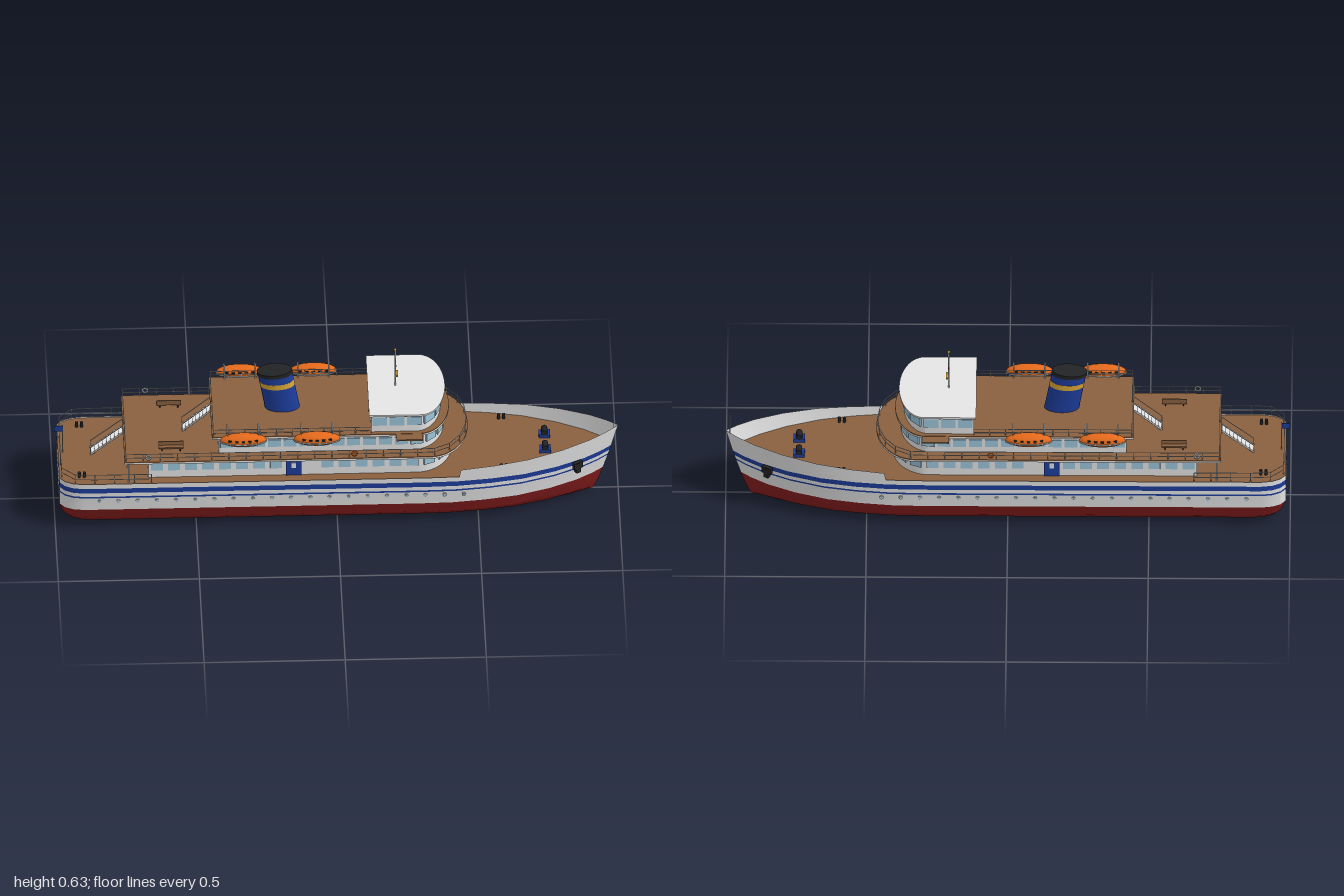
import * as THREE from 'three';
import { toCreasedNormals } from 'three/addons/utils/BufferGeometryUtils.js';

const mat = (name, color, side = THREE.FrontSide) => new THREE.MeshStandardMaterial({ name, color, side });

export function createModel() {
  const ship = new THREE.Group();
  ship.name = 'passengerShip';
  const white = mat('white', 0xe6e6e6, THREE.DoubleSide), red = mat('hullRed', 0x861d1d), blue = mat('blue', 0x1d3d9c, THREE.DoubleSide);
  const brown = mat('deckBrown', 0x8a6140), glass = mat('glass', 0x9cc6dc), orange = mat('orange', 0xe56a1c);
  const gold = mat('gold', 0xd9a638), black = mat('black', 0x222326), grey = mat('railGrey', 0xc4c6c8);

  const add = (name, geo, m, x = 0, y = 0, z = 0, parent = ship) => {
    const mesh = new THREE.Mesh(geo, m);
    mesh.name = name;
    mesh.position.set(x, y, z);
    parent.add(mesh);
    return mesh;
  };
  const box = (name, m, w, h, d, x, y, z, parent) => add(name, new THREE.BoxGeometry(w, h, d), m, x, y, z, parent);
  const V = (x, y, z) => new THREE.Vector3(x, y, z);
  const rod = (name, a, b, r, m = grey, parent = ship) => {
    const mesh = add(name, new THREE.CylinderGeometry(r, r, a.distanceTo(b), 6), m, 0, 0, 0, parent);
    mesh.position.lerpVectors(a, b, 0.5);
    mesh.quaternion.setFromUnitVectors(V(0, 1, 0), b.clone().sub(a).normalize());
    return mesh;
  };

  // Hull: plan outline [fraction of length, fraction of half-width] scaled at every height
  const plan = [[0, 0.78], [0.01, 0.9], [0.025, 0.97], [0.045, 1], [0.3, 1], [0.66, 1], [0.72, 0.985], [0.78, 0.92],
    [0.84, 0.81], [0.9, 0.61], [0.95, 0.37], [0.98, 0.17], [1, 0]];
  const widths = [[0, 0.08], [0.008, 0.13], [0.022, 0.165], [0.045, 0.185], [0.09, 0.198], [0.143, 0.202], [0.3, 0.204]];
  const halfWidth = y => {
    const i = Math.max(1, widths.findIndex(w => w[0] >= y));
    const [a, b] = [widths[i - 1], widths[i]];
    return a[1] + (b[1] - a[1]) * (y - a[0]) / (b[0] - a[0]);
  };
  const hullPoint = (s, f, y, side) => {
    const stern = -0.985 + 0.045 * Math.max(0, 1 - y / 0.09) ** 1.5;
    const bow = 0.91 + 0.09 * Math.min(1, y / 0.273) ** 0.8;
    return V(stern + (bow - stern) * s, y, side * f * halfWidth(y));
  };
  const ring = (yOf, from = 0) => {
    const p = plan.filter(q => q[0] >= from);
    return [...p.map(([s, f]) => hullPoint(s, f, yOf(s), 1)),
      ...p.slice(0, -1).reverse().map(([s, f]) => hullPoint(s, f, yOf(s), -1))];
  };
  const loft = (rings, closed) => {
    const n = rings[0].length, index = [];
    for (let r = 0; r < rings.length - 1; r++) for (let i = 0; i < (closed ? n : n - 1); i++) {
      const a = r * n + i, b = r * n + (i + 1) % n;
      index.push(a, b, b + n, a, b + n, a + n);
    }
    const g = new THREE.BufferGeometry().setFromPoints(rings.flat());
    g.setIndex(index);
    return toCreasedNormals(g, 0.35);
  };
  const band = (name, m, ys) => add(name, loft(ys.map(y => ring(() => y)), true), m);
  band('lowerHull', red, [0, 0.008, 0.022, 0.045, 0.09]);
  band('hullSide', white, [0.09, 0.143]);
  band('thinStripe', blue, [0.143, 0.15]);
  band('hullSideMiddle', white, [0.15, 0.165]);
  band('wideStripe', blue, [0.165, 0.185]);
  band('hullSideTop', white, [0.185, 0.205]);
  const sheer = s => 0.235 + 0.038 * ((s - 0.72) / 0.28) ** 1.2;
  add('bowBulwark', loft([ring(() => 0.2, 0.72), ring(sheer, 0.72)], false), white);
  const flat = y => new THREE.ShapeGeometry(new THREE.Shape(ring(() => y).map(p => new THREE.Vector2(p.x, -p.z))));
  add('mainDeck', flat(0.2).rotateX(-Math.PI / 2), brown, 0, 0.2, 0);
  add('keelPlate', flat(0).rotateX(Math.PI / 2), red);

  // Deckhouses and decks: straight sides with a rounded front
  const outline = (x0, x1, hw, bulge) => {
    const p = new THREE.CurvePath();
    p.add(new THREE.LineCurve(new THREE.Vector2(x0, -hw), new THREE.Vector2(x1 - bulge, -hw)));
    p.add(new THREE.EllipseCurve(x1 - bulge, 0, bulge, hw, -Math.PI / 2, Math.PI / 2));
    p.add(new THREE.LineCurve(new THREE.Vector2(x1 - bulge, hw), new THREE.Vector2(x0, hw)));
    return p;
  };
  const tier = (name, m, [x0, x1, hw, bulge], y0, y1) => {
    const s = new THREE.Shape();
    s.moveTo(x0, -hw).lineTo(x1 - bulge, -hw);
    s.absellipse(x1 - bulge, 0, bulge, hw, -Math.PI / 2, Math.PI / 2);
    s.lineTo(x0, hw);
    const g = new THREE.ExtrudeGeometry(s, { depth: y1 - y0, bevelEnabled: false, curveSegments: 16 });
    return add(name, toCreasedNormals(g.rotateX(-Math.PI / 2), 0.4), m, 0, y0, 0);
  };
  const windows = (name, dims, y, h, w, step, skip = () => false) => {
    const path = outline(...dims), len = path.getLength(), n = Math.floor(len / step);
    const group = new THREE.Group();
    group.name = name;
    for (let i = 0; i < n; i++) {
      const u = (i + 0.5) / n, p = path.getPointAt(u), t = path.getTangentAt(u);
      if (skip(p.x)) continue;
      box('window', glass, w, h, 0.008, p.x, y, -p.y, group).rotation.y = Math.atan2(t.y, t.x);
    }
    ship.add(group);
  };
  const house1 = [-0.67, 0.41, 0.16, 0.13], house2 = [-0.42, 0.38, 0.155, 0.11], bridge = [0.12, 0.37, 0.165, 0.09];
  const deck1 = [-0.755, 0.467, 0.2, 0.14], deck2 = [-0.445, 0.4, 0.18, 0.11];
  tier('lowerHouse', white, house1, 0.2, 0.288);
  tier('lowerHouseStripe', blue, [-0.672, 0.413, 0.163, 0.13], 0.279, 0.286);
  windows('lowerWindows', house1, 0.248, 0.032, 0.042, 0.06, x => Math.abs(x + 0.155) < 0.06);
  tier('promenadeSlab', white, deck1, 0.287, 0.293);
  tier('promenadeDeck', brown, deck1, 0.293, 0.297);
  tier('upperHouse', white, house2, 0.297, 0.376);
  windows('upperWindows', house2, 0.338, 0.03, 0.046, 0.056);
  tier('boatDeckSlab', white, deck2, 0.375, 0.381);
  tier('boatDeck', brown, deck2, 0.381, 0.385);
  tier('bridgeHouse', white, bridge, 0.385, 0.46);
  windows('bridgeWindows', bridge, 0.432, 0.036, 0.052, 0.058, x => x < 0.14);
  tier('bridgeRoofLip', white, [0.116, 0.38, 0.172, 0.09], 0.453, 0.456);
  tier('bridgeRoof', white, [0.112, 0.386, 0.18, 0.09], 0.46, 0.467);
  box('bridgeDoor', blue, 0.006, 0.056, 0.034, 0.118, 0.414, 0.05);
  for (const s of [1, -1]) {
    box('bridgeWing', brown, 0.095, 0.006, 0.05, 0.255, 0.381, s * 0.19);
    box('sideDoor', blue, 0.055, 0.062, 0.008, -0.155, 0.232, s * 0.161);
    box('doorWindow', white, 0.016, 0.022, 0.004, -0.155, 0.246, s * 0.166);
  }

  // Railings: posts with two bars along a list of points
  const rail = (name, pts, y, h) => {
    const group = new THREE.Group();
    group.name = name;
    pts.forEach((p, i) => {
      rod('post', V(p.x, y, -p.y), V(p.x, y + h, -p.y), 0.0014, grey, group);
      if (i) for (const k of [0.5, 1]) {
        const q = pts[i - 1];
        rod('bar', V(q.x, y + h * k, -q.y), V(p.x, y + h * k, -p.y), 0.0014, grey, group);
      }
    });
    ship.add(group);
  };
  const along = (dims, n) => {
    const p = outline(...dims);
    return Array.from({ length: n + 1 }, (_, i) => p.getPointAt(i / n));
  };
  const P = (x, y) => new THREE.Vector2(x, y);
  rail('promenadeRail', along([-0.75, 0.462, 0.196, 0.14], 44), 0.297, 0.031);
  for (const s of [1, -1]) {
    rail('promenadeAftRail', [P(-0.75, s * 0.196), P(-0.75, s * 0.11), P(-0.75, s * 0.025)], 0.297, 0.031);
    rail('boatDeckRail', Array.from({ length: 11 }, (_, i) => P(-0.44 + i * 0.056, s * 0.175)), 0.385, 0.028);
    rail('boatDeckAftRail', [P(-0.44, s * 0.175), P(-0.44, s * 0.1), P(-0.44, s * 0.025)], 0.385, 0.028);
    rail('sternRail', [P(-0.978, 0), P(-0.978, s * 0.08), P(-0.976, s * 0.152), P(-0.93, s * 0.196), P(-0.86, s * 0.2),
      P(-0.79, s * 0.2), P(-0.72, s * 0.2), P(-0.66, s * 0.2)], 0.203, 0.04);
    for (const z of [0.1, 0.185]) rod('deckPillar', V(-0.74, 0.2, s * z), V(-0.74, 0.29, s * z), 0.003, white);
  }

  // Stairs on the centreline
  const stairs = (x0, y0, x1, y1) => {
    for (let i = 0; i < 8; i++) {
      const k = (i + 0.5) / 8;
      box('stairTread', white, 0.015, 0.004, 0.04, x0 + (x1 - x0) * k, y0 + (y1 - y0) * k, 0);
    }
    for (const z of [-0.021, 0.021]) {
      rod('stairStringer', V(x0, y0, z), V(x1, y1, z), 0.003, white);
      rod('stairHandrail', V(x0, y0 + 0.03, z), V(x1, y1 + 0.03, z), 0.0015);
      rod('stairPost', V(x0, y0, z), V(x0, y0 + 0.03, z), 0.0015);
    }
  };
  stairs(-0.87, 0.203, -0.757, 0.295);
  stairs(-0.545, 0.299, -0.447, 0.383);

  // Funnel: oval stack leaning aft, in coloured bands
  const stack = (name, m, y0, y1, r = 1) => {
    const g = new THREE.CylinderGeometry(r, r, y1 - y0, 28).scale(0.062, 1, 0.038);
    g.translate(0, (y0 + y1) / 2, 0);
    const p = g.attributes.position;
    for (let i = 0; i < p.count; i++) {
      const k = (p.getY(i) - 0.385) / 0.16;
      p.setX(i, -0.19 + p.getX(i) * (1 - 0.02 * k) - 0.028 * k);
      p.setY(i, p.getY(i) - (p.getX(i) + 0.2) * 0.06 * Math.max(0, k) * -1);
    }
    add(name, toCreasedNormals(g, 0.7), m);
  };
  stack('funnelBase', blue, 0.385, 0.482);
  stack('funnelBand', gold, 0.482, 0.503, 1.01);
  stack('funnelUpper', blue, 0.503, 0.531);
  stack('funnelCap', black, 0.531, 0.546, 1.03);

  // Lifeboats with davits
  for (const x of [-0.335, -0.074]) for (const s of [1, -1]) {
    const boat = new THREE.Group();
    boat.name = 'lifeboat';
    boat.position.set(x, 0.39, s * 0.205);
    ship.add(boat);
    add('boatHull', new THREE.SphereGeometry(1, 20, 12).scale(0.083, 0.025, 0.028), orange, 0, 0, 0, boat);
    add('boatGunwale', new THREE.CylinderGeometry(1, 1, 0.005, 24).scale(0.084, 1, 0.03), grey, 0, -0.004, 0, boat);
    for (let i = -2; i <= 2; i++) for (const t of [1, -1])
      box('boatWindow', black, 0.012, 0.007, 0.006, i * 0.023, 0.008, t * (0.0255 - 0.0015 * i * i), boat);
    for (const d of [-0.055, 0.055]) {
      rod('davitPost', V(x + d, 0.385, s * 0.168), V(x + d, 0.433, s * 0.168), 0.003, white);
      rod('davitArm', V(x + d, 0.433, s * 0.168), V(x + d, 0.423, s * 0.205), 0.003, white);
      rod('davitFall', V(x + d, 0.423, s * 0.205), V(x + d, 0.4, s * 0.205), 0.0015);
    }
  }

  // Mast, radar, bow staff and stern flag
  rod('mast', V(0.21, 0.465, 0), V(0.21, 0.62, 0), 0.0035);
  add('mastBall', new THREE.SphereGeometry(0.005, 10, 8), gold, 0.21, 0.623, 0);
  rod('mastYard', V(0.21, 0.584, -0.045), V(0.21, 0.584, 0.045), 0.002);
  box('radarBar', gold, 0.008, 0.006, 0.034, 0.216, 0.518, 0);
  for (const s of [1, -1]) box('yardLamp', s > 0 ? grey : red, 0.005, 0.007, 0.005, 0.21, 0.585, s * 0.046);
  rod('bowStaff', V(0.985, 0.25, 0), V(0.985, 0.34, 0), 0.0015);
  rod('sternStaff', V(-0.968, 0.2, 0), V(-0.968, 0.32, 0), 0.0018);
  box('sternFlag', blue, 0.03, 0.024, 0.002, -0.984, 0.304, 0);

  // Deck fittings and hull details, mirrored on both sides
  for (const s of [1, -1]) {
    box('benchSeat', brown, 0.088, 0.005, 0.018, -0.588, 0.311, s * 0.13);
    box('benchBack', brown, 0.088, 0.018, 0.004, -0.588, 0.32, s * 0.122);
    for (const x of [-0.62, -0.556]) box('benchLeg', black, 0.004, 0.014, 0.014, x, 0.304, s * 0.13);
    box('winchBase', blue, 0.04, 0.014, 0.034, 0.74, 0.207, s * 0.045);
    add('winchDrum', new THREE.CylinderGeometry(0.011, 0.011, 0.036, 12).rotateX(Math.PI / 2), black, 0.74, 0.222, s * 0.045);
    for (const x of [0.59, -0.905]) for (const d of [-0.009, 0.009])
      add('bollard', new THREE.CylinderGeometry(0.006, 0.005, 0.02, 10), black, x + d, 0.21, s * 0.15);
    const anchor = new THREE.Group();
    anchor.name = 'anchor';
    anchor.position.set(0.853, 0.17, s * 0.106);
    anchor.rotation.y = s * 0.55;
    box('anchorPlate', black, 0.036, 0.026, 0.014, 0, 0.008, 0, anchor);
    box('anchorShank', black, 0.018, 0.04, 0.016, 0, -0.002, 0, anchor);
    ship.add(anchor);
    for (let i = 0; i < 20; i++)
      add('porthole', new THREE.CylinderGeometry(0.007, 0.007, 0.006, 12).rotateX(Math.PI / 2), i % 1 ? black : grey, -0.845 + i * 0.068, 0.13, s * 0.201);
    for (let i = 0; i < 20; i++)
      add('portholeGlass', new THREE.CylinderGeometry(0.0045, 0.0045, 0.008, 10).rotateX(Math.PI / 2), glass, -0.845 + i * 0.068, 0.13, s * 0.201);
    for (const [x, m] of [[0.06, orange], [-0.67, white]])
      add('lifebuoy', new THREE.TorusGeometry(0.009, 0.003, 8, 16), m, x, 0.317, s * 0.2);
  }
  return ship;
}
